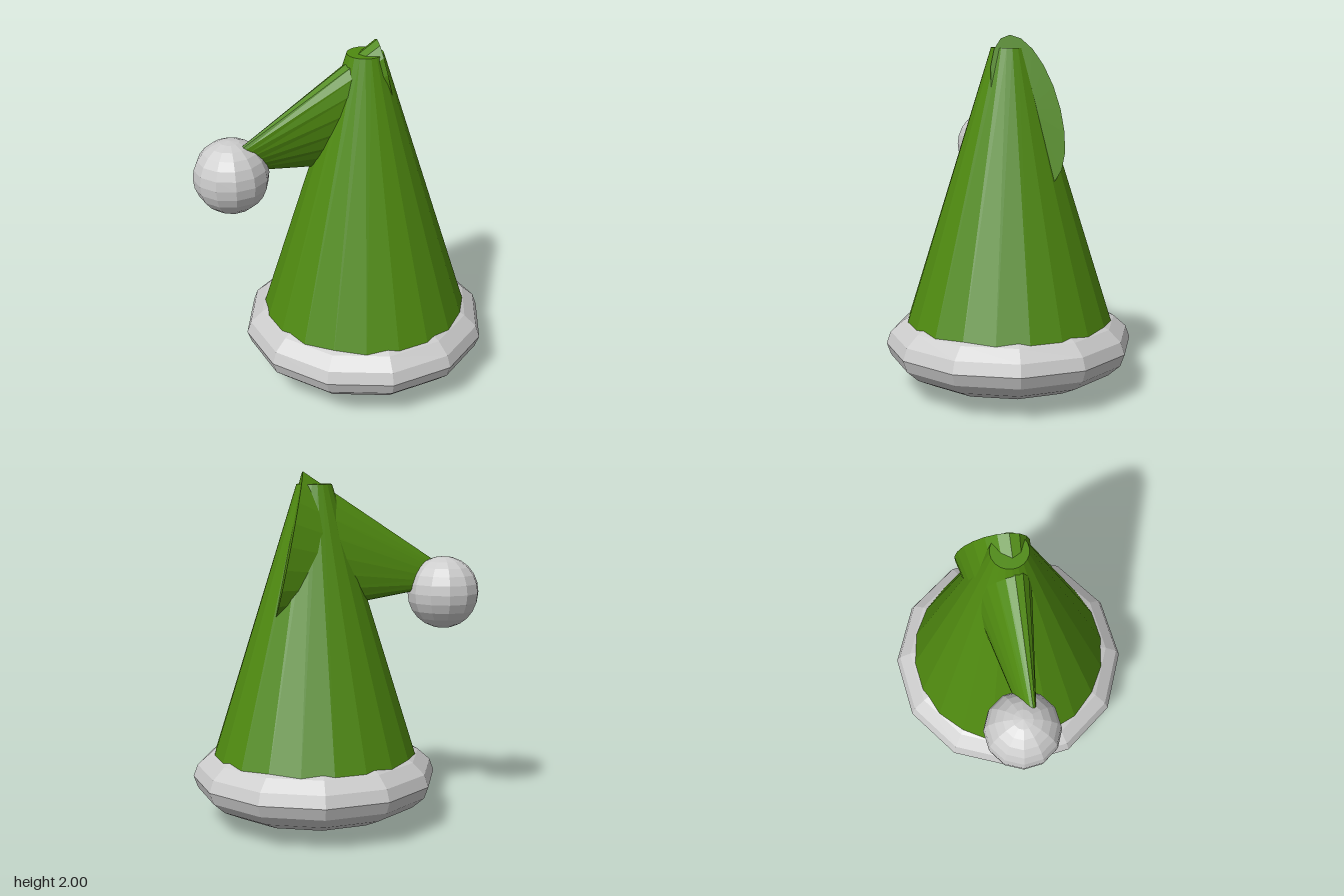
import * as THREE from 'three';

const fabric = new THREE.MeshStandardMaterial({ color: 0x4f8a10, flatShading: true, side: THREE.DoubleSide });
const fur = new THREE.MeshStandardMaterial({ color: 0xcccccc, flatShading: true });
const SIDES = 20;

function addPart(group, name, geometry, material, x, y, z) {
  const mesh = new THREE.Mesh(geometry, material);
  mesh.name = name;
  mesh.position.set(x, y, z);
  group.add(mesh);
  return mesh;
}

// Capped, flattened cone between two skewed elliptical ends {c: centre, a, b: half axes}
function loftEnds(near, far) {
  const pos = [], index = [];
  for (const end of [near, far]) {
    const [c, a, b] = [end.c, end.a, end.b].map(v => new THREE.Vector3(...v));
    for (let i = 0; i < SIDES; i++) {
      const t = (i / SIDES) * Math.PI * 2;
      const p = c.clone().addScaledVector(a, Math.cos(t)).addScaledVector(b, Math.sin(t));
      pos.push(p.x, p.y, p.z);
    }
  }
  pos.push(...near.c, ...far.c);
  for (let i = 0; i < SIDES; i++) {
    const j = (i + 1) % SIDES;
    index.push(i, i + SIDES, j, j, i + SIDES, j + SIDES);
    index.push(2 * SIDES, i, j, 2 * SIDES + 1, j + SIDES, i + SIDES);
  }
  const g = new THREE.BufferGeometry();
  g.setAttribute('position', new THREE.Float32BufferAttribute(pos, 3));
  g.setIndex(index);
  g.computeVertexNormals();
  return g;
}

export function createModel() {
  const hat = new THREE.Group();
  hat.name = 'hat';
  const cx = 0.065;

  // Squashed fur brim
  const brim = new THREE.SphereGeometry(0.7, 12, 12);
  brim.scale(1, 0.26 / 0.7, 1);
  addPart(hat, 'brim', brim, fur, cx, 0.265, 0);

  // Main cone with a blunt top
  const bottom = 0.3, top = 1.93;
  addPart(hat, 'crown', new THREE.CylinderGeometry(0.1, 0.612, top - bottom, SIDES), fabric,
    cx, (top + bottom) / 2, 0);

  // Drooping tip, folded over toward the front and side
  const droop = loftEnds(
    { c: [-0.45, 1.41, 0.37], a: [-0.03, 0.09, 0.06], b: [0.02, 0, 0.035] },
    { c: [0.149, 1.6, -0.152], a: [-0.028, 0.4, 0.12], b: [0.09, 0, 0.155] });
  addPart(hat, 'droopingTip', droop, fabric, 0, 0, 0);

  // Pompom
  addPart(hat, 'pompom', new THREE.SphereGeometry(0.207, 12, 12), fur, -0.56, 1.31, 0.415);
  return hat;
}
